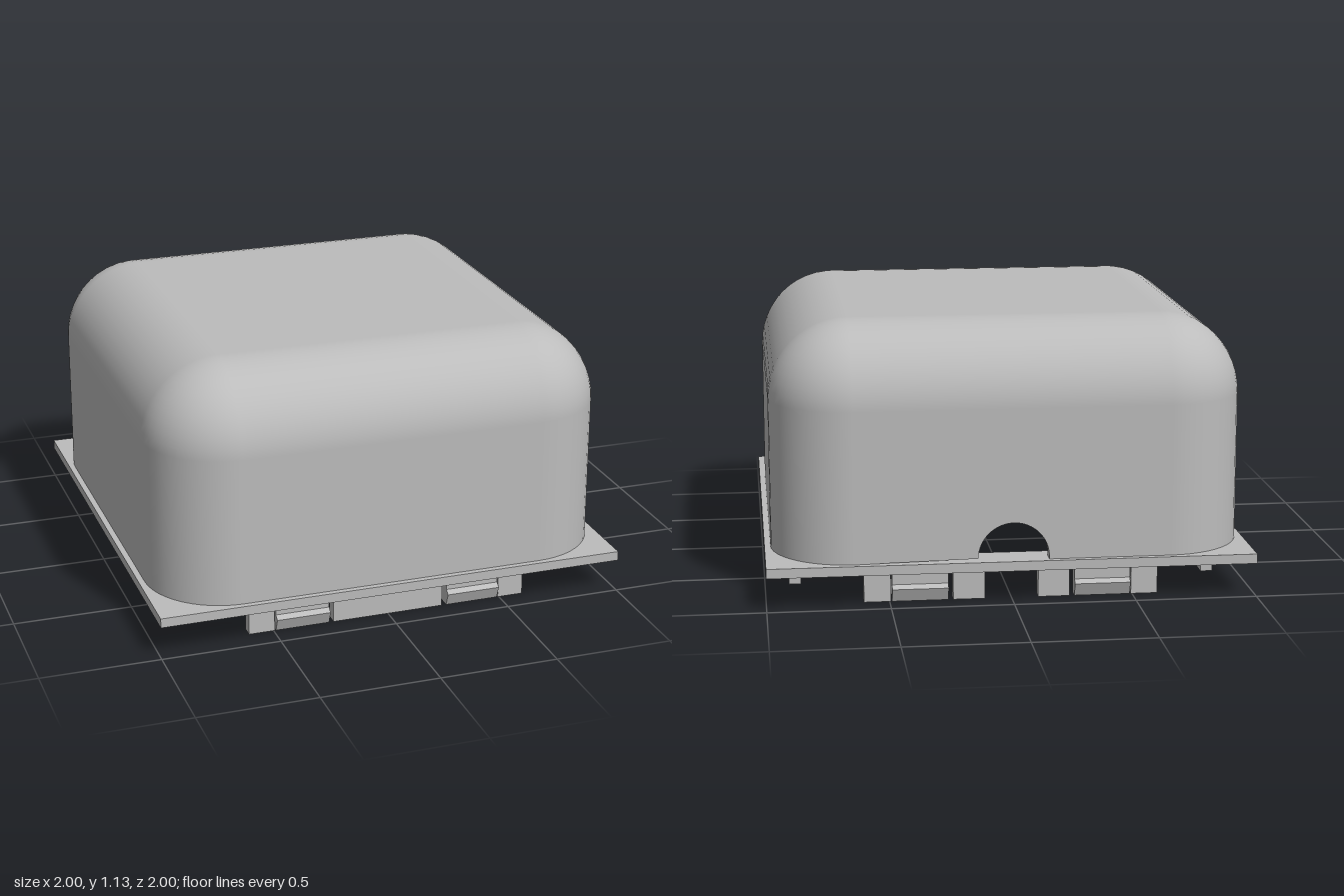
import * as THREE from 'three';

const HALF = 0.975, RADIUS = 0.33, WALL = 0.05;
const PLATE_Y = 0.14, PLATE_TOP = 0.18, TOP = 1.135;

// Open-bottomed rounded dome; the flat lower back wall is left out for the panel with the cable notch
function domeSkin(half, radius, top, inward) {
  const pos = [], nor = [], idx = [];
  const steps = 12, c = half - radius, side = 4 * (steps + 1);
  const bend = top - radius;
  for (let row = -1; row <= steps; row++) {
    const phi = Math.max(row, 0) / steps * Math.PI / 2;
    for (let q = 0; q < 4; q++) {
      const mid = q * Math.PI / 2 + Math.PI / 4;
      const cx = c * Math.sign(Math.cos(mid)), cz = c * Math.sign(Math.sin(mid));
      for (let i = 0; i <= steps; i++) {
        const a = (q + i / steps) * Math.PI / 2;
        const n = [Math.cos(a) * Math.cos(phi), Math.sin(phi), Math.sin(a) * Math.cos(phi)];
        const y = row < 0 ? PLATE_TOP : bend + radius * n[1];
        pos.push(cx + radius * n[0], y, cz + radius * n[2]);
        nor.push(...n.map(v => inward ? -v : v));
      }
    }
  }
  const tri = (a, b, d) => inward ? idx.push(a, d, b) : idx.push(a, b, d);
  for (let row = 0; row <= steps; row++) {
    for (let i = 0; i < side; i++) {
      if (row === 0 && i === 3 * (steps + 1) - 1) continue;
      const j = (i + 1) % side, lo = row * side, hi = lo + side;
      tri(lo + i, hi + i, lo + j);
      tri(lo + j, hi + i, hi + j);
    }
  }
  // Flat roof
  const base = pos.length / 3;
  for (const [x, z] of [[c, c], [-c, c], [-c, -c], [c, -c]]) {
    pos.push(x, top, z);
    nor.push(0, inward ? -1 : 1, 0);
  }
  tri(base, base + 2, base + 1);
  tri(base, base + 3, base + 2);
  const g = new THREE.BufferGeometry();
  g.setAttribute('position', new THREE.Float32BufferAttribute(pos, 3));
  g.setAttribute('normal', new THREE.Float32BufferAttribute(nor, 3));
  g.setIndex(idx);
  return g;
}

function square(PathType, h) {
  return new PathType([[-h, -h], [h, -h], [h, h], [-h, h]].map(p => new THREE.Vector2(...p)));
}

export function createModel() {
  const model = new THREE.Group();
  model.name = 'ventCover';
  const grey = new THREE.MeshStandardMaterial({ color: 0xbcbcbc });
  grey.name = 'plainGrey';

  const add = (name, geometry, parent = model) => {
    const mesh = new THREE.Mesh(geometry, grey);
    mesh.name = name;
    parent.add(mesh);
    return mesh;
  };
  const box = (name, x0, x1, y0, y1, z0, z1, parent) => {
    const mesh = add(name, new THREE.BoxGeometry(x1 - x0, y1 - y0, z1 - z0), parent);
    mesh.position.set((x0 + x1) / 2, (y0 + y1) / 2, (z0 + z1) / 2);
    return mesh;
  };

  // Hollow dome
  add('domeOutside', domeSkin(HALF, RADIUS, TOP, false));
  add('domeInside', domeSkin(HALF - WALL, RADIUS - WALL, TOP - WALL, true));

  // Lower back wall with an arched notch
  const w = HALF - RADIUS, arch = 0.145, wallTop = TOP - RADIUS;
  const wall = new THREE.Shape();
  wall.moveTo(-w, PLATE_TOP);
  wall.lineTo(-arch, PLATE_TOP);
  wall.absarc(0, PLATE_TOP + 0.01, arch, Math.PI, 0, true);
  wall.lineTo(w, PLATE_TOP);
  wall.lineTo(w, wallTop);
  wall.lineTo(-w, wallTop);
  const wallGeo = new THREE.ExtrudeGeometry(wall, { depth: WALL, bevelEnabled: false, curveSegments: 24 });
  add('backWall', wallGeo).position.z = -HALF;

  // Square flange with a square opening
  const flange = square(THREE.Shape, 1);
  flange.holes.push(square(THREE.Path, 0.85));
  const flangeGeo = new THREE.ExtrudeGeometry(flange, { depth: PLATE_TOP - PLATE_Y, bevelEnabled: false });
  flangeGeo.rotateX(-Math.PI / 2);
  add('flange', flangeGeo).position.y = PLATE_Y;

  // Snap hook: tall springy arm with a barb near its foot, profile in (outward, up)
  const hook = new THREE.Shape([[0.85, 0], [0.9, 0], [0.922, 0.055], [0.9, 0.07], [0.9, 0.54], [0.85, 0.54]]
    .map(p => new THREE.Vector2(...p)));
  const hookWidth = 0.23;
  const hookGeo = new THREE.ExtrudeGeometry(hook, { depth: hookWidth, bevelEnabled: false });
  hookGeo.translate(0, 0, -hookWidth / 2);
  hookGeo.rotateY(-Math.PI / 2);

  // One row of hooks and locating blocks on each of the four sides
  ['front', 'left', 'back', 'right'].forEach((name, k) => {
    const row = new THREE.Group();
    row.name = name + 'Clips';
    row.rotation.y = k * Math.PI / 2;
    for (const s of [-1, 1]) {
      add('snapHook', hookGeo, row).position.x = s * 0.375;
      box('endBlock', s * 0.55 - 0.055, s * 0.55 + 0.055, 0, PLATE_Y, 0.85, 0.9, row);
      if (name === 'back') box('middleBlock', s * 0.175 - 0.065, s * 0.175 + 0.065, 0, PLATE_Y, 0.85, 0.9, row);
    }
    if (name !== 'back') box('middleBlock', -0.24, 0.24, 0, PLATE_Y, 0.85, 0.9, row);
    model.add(row);
  });

  // Inner bar and round boss on the front wall
  box('innerBar', -0.24, 0.24, 0.44, 0.54, 0.78, 0.93);
  const boss = add('innerBoss', new THREE.CylinderGeometry(0.16, 0.16, 0.06, 32));
  boss.rotation.x = Math.PI / 2;
  boss.position.set(0, 0.62, 0.9);

  return model;
}
